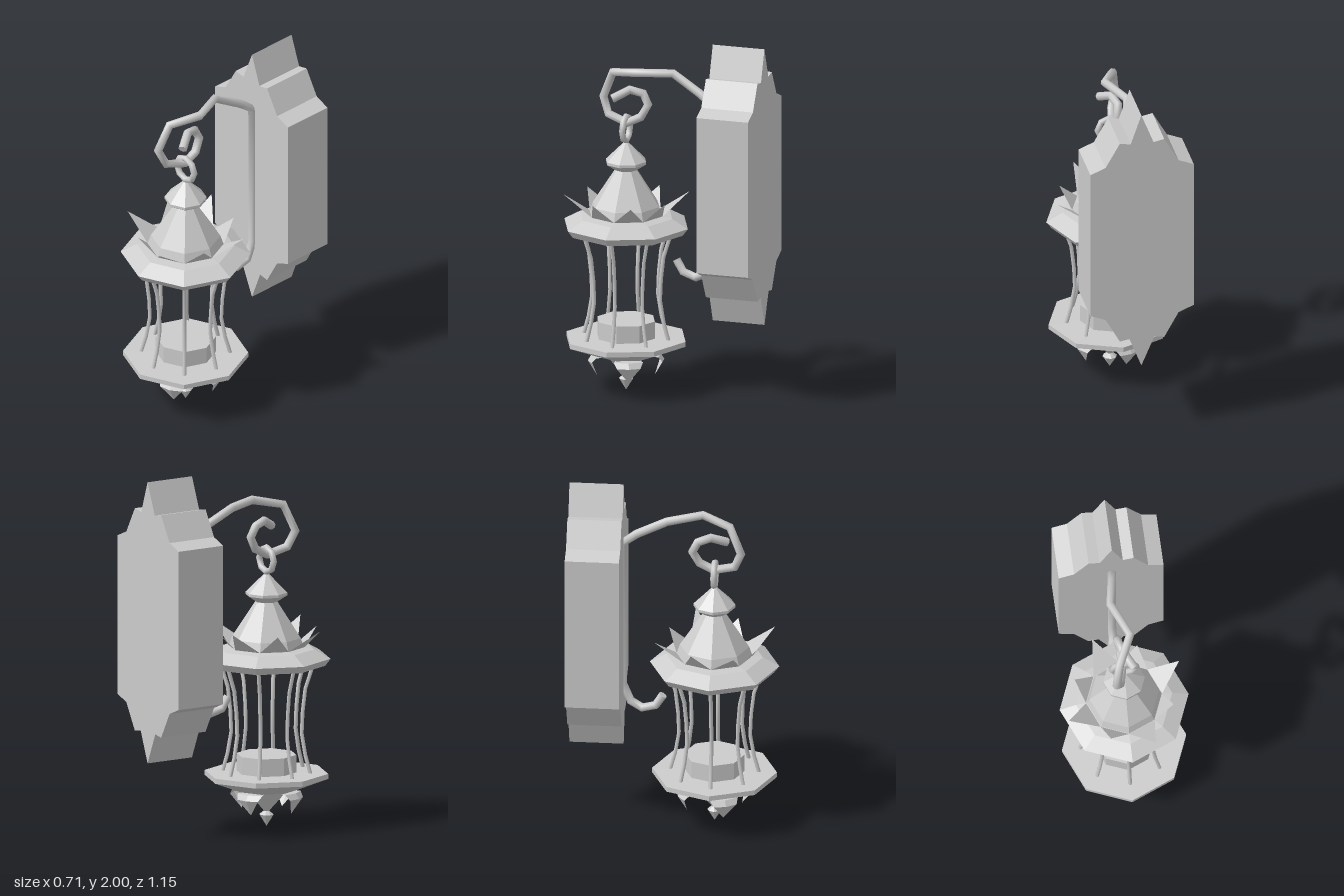
import * as THREE from 'three';

const AXIS_Z = 0.22; // lantern's vertical axis
const V2 = (p) => new THREE.Vector2(p[0], p[1]);
const V3 = (p) => new THREE.Vector3(p[0], p[1], p[2]);

const flat = new THREE.MeshStandardMaterial({ color: 0xcccccc, flatShading: true });
const thin = new THREE.MeshStandardMaterial({ color: 0xcccccc, flatShading: true, side: THREE.DoubleSide });
const smooth = new THREE.MeshStandardMaterial({ color: 0xcccccc });

// Curve sampled exactly at its corner points, so bends stay angular
class Polyline extends THREE.Curve {
  constructor(points) {
    super();
    this.points = points.map(V3);
  }
  get last() { return this.points.length - 1; }
  getPointAt(u) { return this.points[Math.round(u * this.last)].clone(); }
  getTangentAt(u) {
    const i = Math.round(u * this.last);
    const p = this.points;
    const t = new THREE.Vector3();
    if (i < this.last) t.add(p[i + 1].clone().sub(p[i]).normalize());
    if (i > 0) t.add(p[i].clone().sub(p[i - 1]).normalize());
    return t.normalize();
  }
}

function add(parent, name, geometry, material) {
  const mesh = new THREE.Mesh(geometry, material);
  mesh.name = name;
  parent.add(mesh);
  return mesh;
}

// Bent rod with flat end caps
function rod(parent, name, points, radius, sides) {
  const curve = new Polyline(points);
  const group = new THREE.Group();
  group.name = name;
  add(group, name + 'Tube', new THREE.TubeGeometry(curve, curve.last, radius, sides), smooth);
  for (const u of [0, 1]) {
    const cap = add(group, name + 'End', new THREE.CircleGeometry(radius, sides), flat);
    const dir = curve.getTangentAt(u).multiplyScalar(u ? 1 : -1);
    cap.position.copy(curve.getPointAt(u));
    cap.quaternion.setFromUnitVectors(new THREE.Vector3(0, 0, 1), dir);
  }
  parent.add(group);
  return group;
}

// Octagonal solid of revolution, profile listed bottom to top
const turned = (parent, name, profile) =>
  add(parent, name, new THREE.LatheGeometry(profile.map(V2), 8), flat);

// Leaf from rows of [distance out, height, half width], pointing along +z
function leafGeometry(rows, fold = 0) {
  const positions = [];
  const index = [];
  rows.forEach(([r, y, w], i) => {
    positions.push(-w, y, r - fold * w, 0, y, r, w, y, r - fold * w);
    if (i === 0) return;
    for (const k of [0, 1]) {
      const a = (i - 1) * 3 + k;
      const b = i * 3 + k;
      index.push(a, a + 1, b, a + 1, b + 1, b);
    }
  });
  const g = new THREE.BufferGeometry();
  g.setAttribute('position', new THREE.Float32BufferAttribute(positions, 3));
  g.setIndex(index);
  g.computeVertexNormals();
  return g;
}

function backPlate(parent) {
  const right = [
    [0, 2.0], [0.06, 1.825], [0.12, 1.837], [0.2, 1.695], [0.285, 1.66],
    [0.285, 0.78], [0.2, 0.745], [0.12, 0.6], [0.065, 0.61], [0, 0.437],
  ];
  const left = right.slice(1, -1).reverse().map(([x, y]) => [-x - 0.008, y]);
  const shape = new THREE.Shape([...right, ...left].map(V2));
  const geometry = new THREE.ExtrudeGeometry(shape, { depth: 0.297, bevelEnabled: false });
  add(parent, 'backPlate', geometry, flat).position.z = -0.575;
}

function lantern(parent) {
  const group = new THREE.Group();
  group.name = 'lantern';
  group.position.z = AXIS_Z;
  parent.add(group);

  // Roof, brim and top knob
  turned(group, 'brim', [[0, 0.9], [0.325, 0.9], [0.355, 0.94], [0.265, 0.99], [0.2, 1.0], [0, 1.0]]);
  turned(group, 'roof', [[0.21, 0.99], [0.19, 1.05], [0.06, 1.25]]);
  turned(group, 'knob', [[0.055, 1.245], [0.115, 1.285], [0.115, 1.3], [0.015, 1.4], [0, 1.4]]);

  // Base tray, candle and pendant
  turned(group, 'baseTray', [[0, 0.205], [0.17, 0.205], [0.342, 0.272], [0.342, 0.3], [0, 0.305]]);
  turned(group, 'candle', [[0.165, 0.3], [0.165, 0.4], [0, 0.4]]);
  turned(group, 'pendant', [[0, 0], [0.04, 0.065], [0.015, 0.085], [0.12, 0.205]]);

  // Crown of alternating long and short leaves
  for (let i = 0; i < 8; i++) {
    const tip = i % 2 ? [0.28, 1.1, 0] : [0.347, 1.117, 0];
    const leaf = add(group, 'crownLeaf', leafGeometry([[0.194, 1.0, 0.08], tip]), thin);
    leaf.rotation.y = (i + 0.5) * Math.PI / 4;
  }

  // Curled leaves under the tray
  for (let i = 0; i < 4; i++) {
    const rows = [[0.1, 0.205, 0.05], [0.19, 0.2, 0.08], [0.21, 0.17, 0.065], [0.158, 0.083, 0]];
    const leaf = add(group, 'lowerLeaf', leafGeometry(rows, 0.25), thin);
    leaf.rotation.y = Math.PI / 8 + i * Math.PI / 2;
  }

  // Bowed cage wires
  for (let i = 0; i < 8; i++) {
    const path = [[0, 0.29, 0.245], [0, 0.4, 0.215], [0, 0.52, 0.195], [0, 0.64, 0.2], [0, 0.77, 0.215], [0, 0.91, 0.26]];
    rod(group, 'cageWire', path, 0.011, 6).rotation.y = i * Math.PI / 4;
  }

  // Hanging ring
  add(group, 'hangingRing', new THREE.TorusGeometry(0.068, 0.018, 8, 8), smooth).position.y = 1.48;
}

export function createModel() {
  const model = new THREE.Group();
  model.name = 'wallLantern';
  backPlate(model);
  lantern(model);

  // Wall bracket: lower hook, upright, arm and scroll
  rod(model, 'bracket', [
    [-0.03, 0.755, -0.06], [-0.025, 0.69, -0.1], [-0.015, 0.667, -0.175], [0, 0.7, -0.24],
    [0, 0.8, -0.282], [0, 1.65, -0.28], [-0.01, 1.709, -0.206], [-0.04, 1.804, -0.037],
    [0.042, 1.813, 0.153], [-0.035, 1.783, 0.307], [-0.06, 1.635, 0.37], [-0.035, 1.545, 0.333],
    [-0.01, 1.51, 0.217], [-0.01, 1.55, 0.138], [-0.02, 1.62, 0.1], [-0.025, 1.68, 0.13],
    [-0.005, 1.7, 0.2], [0.045, 1.655, 0.285],
  ], 0.024, 8);

  return model;
}
